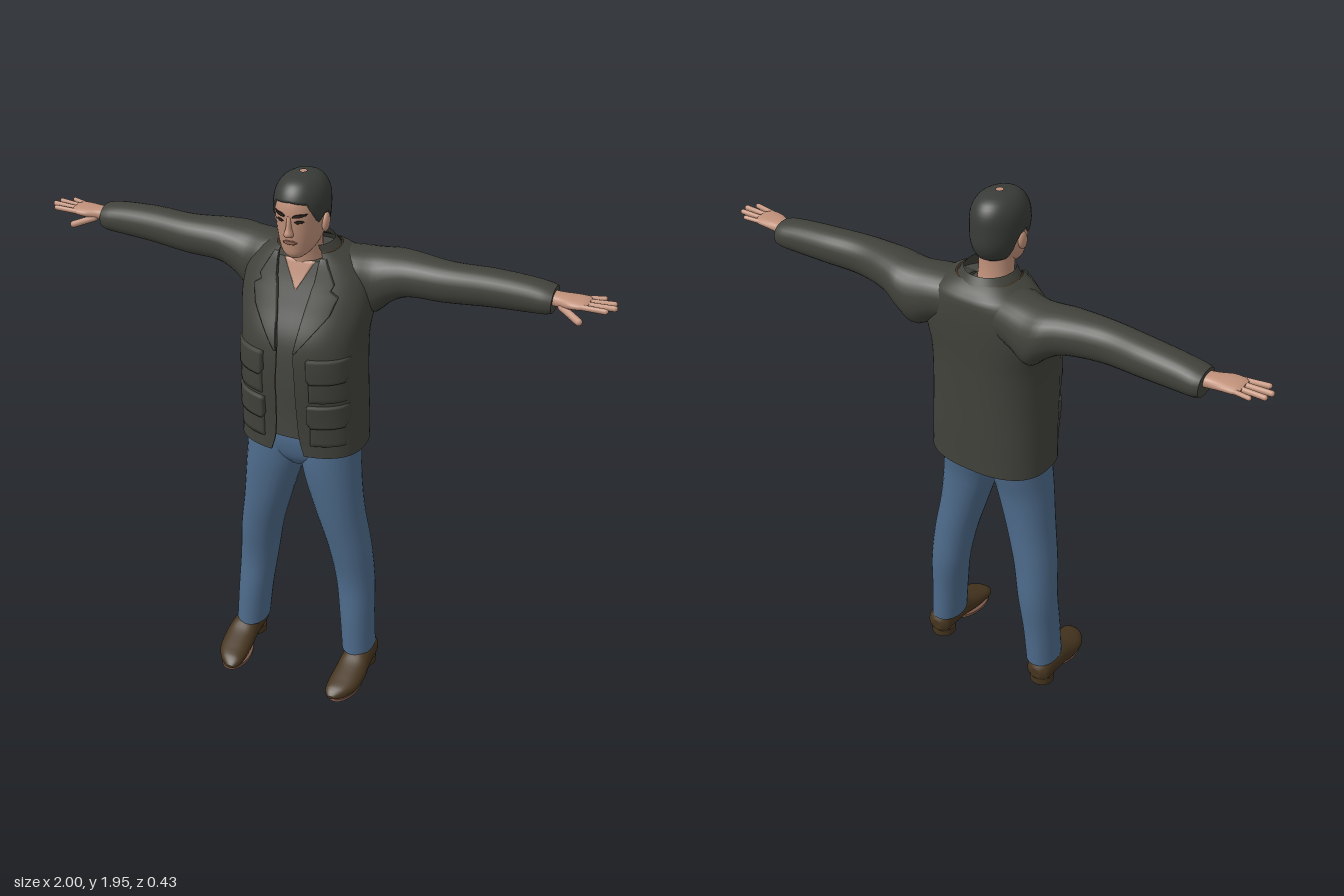
import * as THREE from 'three';

const mat = (name, color, side = THREE.FrontSide) => {
  const m = new THREE.MeshStandardMaterial({ color, side });
  m.name = name;
  return m;
};

// Smooth value of a key table at t (first column), by Hermite interpolation
function sample(keys, t) {
  let i = 0;
  while (i < keys.length - 2 && t > keys[i + 1][0]) i++;
  const a = keys[i], b = keys[i + 1], p = keys[i - 1] || a, n = keys[i + 2] || b;
  const h = b[0] - a[0], s = Math.min(1, Math.max(0, (t - a[0]) / h)), s2 = s * s, s3 = s2 * s;
  return a.map((_, k) => {
    const ma = (b[k] - p[k]) / (b[0] - p[0]) * h, mb = (n[k] - a[k]) / (n[0] - a[0]) * h;
    return a[k] * (2 * s3 - 3 * s2 + 1) + ma * (s3 - 2 * s2 + s) + b[k] * (3 * s2 - 2 * s3) + mb * (s3 - s2);
  });
}

function linear(keys, t) {
  let i = 0;
  while (i < keys.length - 2 && t > keys[i + 1][0]) i++;
  const a = keys[i], b = keys[i + 1], s = Math.min(1, Math.max(0, (t - a[0]) / (b[0] - a[0])));
  return a.map((v, k) => v + (b[k] - v) * s);
}

const spow = (v, e) => Math.sign(v) * Math.abs(v) ** e;

function finish(pos, idx) {
  const g = new THREE.BufferGeometry();
  g.setAttribute('position', new THREE.Float32BufferAttribute(pos, 3));
  g.setIndex(idx);
  g.computeVertexNormals();
  return g;
}

// Grid of points f(i, j), i along the row, j upward
function grid(nx, ny, f, wrap = false) {
  const pos = [], idx = [], w = wrap ? nx : nx + 1;
  for (let j = 0; j <= ny; j++) for (let i = 0; i < w; i++) pos.push(...f(i, j));
  for (let j = 0; j < ny; j++) for (let i = 0; i < nx; i++) {
    const a = j * w + i, b = j * w + (i + 1) % w;
    idx.push(a, b, b + w, a, b + w, a + w);
  }
  return { pos, idx };
}

// Superellipse loft. Keys: [t, c1, c2, r1, r2, frontGap]; a gap leaves it open
function loft(keys, { axis = 'y', p = 2, n = 28, m = 28, open = false } = {}) {
  const t0 = keys[0][0], t1 = keys[keys.length - 1][0];
  const orient = (u, t, v) => axis === 'y' ? [u, t, v] : axis === 'x' ? [t, v, u] : [v, u, t];
  const f = (i, j) => {
    const t = t0 + (t1 - t0) * j / m, [, c1, c2, r1, r2, g = 0] = sample(keys, t);
    const a0 = open ? Math.asin(Math.min(1, (g / r1) ** (p / 2))) : 0;
    const a = a0 + (Math.PI * 2 - 2 * a0) * i / n;
    return orient(c1 + r1 * spow(Math.sin(a), 2 / p), t, c2 + r2 * spow(Math.cos(a), 2 / p));
  };
  const { pos, idx } = grid(n, m, f, !open);
  if (!open) for (const j of [0, m]) {
    const base = pos.length / 3, k = sample(keys, j ? t1 : t0);
    for (let i = 0; i < n; i++) pos.push(...f(i, j));
    pos.push(...orient(k[1], k[0], k[2]));
    for (let i = 0; i < n; i++) {
      const a = base + i, b = base + (i + 1) % n;
      idx.push(...(j ? [a, b, base + n] : [b, a, base + n]));
    }
  }
  return finish(pos, idx);
}

// Raised panel lying on the front of a loft. Rows: [y, xLeft, xRight], upward
function drape(keys, p, rows, off, n = 10) {
  const y0 = rows[0][0], y1 = rows[rows.length - 1][0];
  const c = i => Math.min(1, Math.max(0, (i - 1) / n));
  const { pos, idx } = grid(n + 2, n + 2, (i, j) => {
    const y = y0 + (y1 - y0) * c(j), [, xl, xr] = linear(rows, y), x = xl + (xr - xl) * c(i);
    const [, c1, c2, r1, r2] = sample(keys, y);
    const edge = i === 0 || j === 0 || i === n + 2 || j === n + 2;
    const q = Math.min(1, Math.abs((x - c1) / r1));
    return [x, y, c2 + r2 * (1 - q ** p) ** (1 / p) + (edge ? -0.004 : off)];
  });
  return finish(pos, idx);
}

function mirrored(geo) {
  const g = geo.clone().scale(-1, 1, 1), ix = g.index;
  for (let i = 0; i < ix.count; i += 3) {
    const a = ix.getX(i);
    ix.setX(i, ix.getX(i + 1));
    ix.setX(i + 1, a);
  }
  return g;
}

// Rounded finger between two points
function finger(a, b, r) {
  const A = new THREE.Vector3(...a), d = new THREE.Vector3(...b).sub(A), len = d.length();
  const g = new THREE.CapsuleGeometry(r, len - 2 * r, 5, 10);
  g.applyQuaternion(new THREE.Quaternion().setFromUnitVectors(new THREE.Vector3(0, 1, 0), d.clone().normalize()));
  return g.translate(...A.addScaledVector(d, 0.5).toArray());
}

export function createModel() {
  const root = new THREE.Group();
  root.name = 'standingMan';
  const D = THREE.DoubleSide;
  const skin = mat('skin', 0xc0917a), hair = mat('hair', 0x383b37, D), jacket = mat('jacket', 0x41423b, D);
  const lining = mat('lining', 0x3c2f20, D), shirt = mat('shirt', 0x464742), jeans = mat('denim', 0x4d6a8a);
  const leather = mat('shoeLeather', 0x46351f), sole = mat('sole', 0x7a5848), lip = mat('lips', 0x9c6a58), dark = mat('eyesAndBrows', 0x2a211d);
  const add = (name, geo, m) => {
    const mesh = new THREE.Mesh(geo, m);
    mesh.name = name;
    root.add(mesh);
  };
  const pair = (name, geo, m) => {
    add(name + 'Left', geo, m);
    add(name + 'Right', mirrored(geo), m);
  };

  // Jacket body, open at the front, with lining and shirt inside
  const P = 2.5;
  const body = [
    [0.985, 0, -0.03, 0.222, 0.16, 0.06], [1.04, 0, -0.03, 0.22, 0.16, 0.045], [1.12, 0, -0.028, 0.217, 0.163, 0.038],
    [1.27, 0, -0.021, 0.212, 0.17, 0.034], [1.4, 0, -0.025, 0.212, 0.168, 0.03], [1.52, 0, -0.053, 0.225, 0.145, 0.05],
    [1.6, 0, -0.07, 0.21, 0.128, 0.065], [1.66, 0, -0.075, 0.16, 0.113, 0.08], [1.69, 0, -0.06, 0.105, 0.088, 0.07]];
  const inset = (d, keep = () => true) => body.filter(keep).map(([t, a, b, r, s, g]) => [t, a, b, r - d, s - d, g]);
  add('jacketBody', loft(body, { p: P, n: 56, m: 44, open: true }), jacket);
  add('jacketLining', loft(inset(0.006), { p: P, n: 56, m: 44, open: true }), lining);
  const inner = inset(0.014, k => k[0] > 1 && k[0] < 1.68);
  add('shirt', loft(inner, { p: P, n: 40, m: 30 }), shirt);
  add('openNeckSkin', drape(inner, P, [[1.57, -0.003, 0.003], [1.66, -0.052, 0.052]], 0.004), skin);
  add('collar', loft([[1.64, 0, -0.066, 0.128, 0.118, 0.085], [1.675, 0, -0.062, 0.108, 0.1, 0.075],
    [1.712, 0, -0.055, 0.082, 0.085, 0.055]], { n: 40, m: 8, open: true }), jacket);
  pair('lapel', drape(body, P, [[1.385, 0.03, 0.036], [1.51, 0.047, 0.13], [1.57, 0.058, 0.148],
    [1.585, 0.06, 0.12], [1.6, 0.065, 0.13], [1.675, 0.072, 0.09]], 0.009, 16), jacket);

  // Pockets and their flaps
  for (const [name, y, h] of [['chest', 1.37, 0.16], ['hip', 1.195, 0.16]]) {
    pair(name + 'Pocket', drape(body, P, [[y - h, 0.085, 0.192], [y - 0.02, 0.085, 0.192]], 0.007), jacket);
    pair(name + 'PocketFlap', drape(body, P, [[y - 0.085, 0.09, 0.19], [y - 0.07, 0.078, 0.197], [y, 0.078, 0.197]], 0.015), jacket);
  }

  // Sleeves: [x, z, y, depth, height]
  pair('sleeve', loft([
    [0.06, -0.095, 1.6, 0.085, 0.075], [0.15, -0.1, 1.59, 0.1, 0.09], [0.22, -0.115, 1.572, 0.098, 0.108],
    [0.27, -0.12, 1.595, 0.095, 0.088], [0.33, -0.112, 1.614, 0.083, 0.072], [0.46, -0.099, 1.617, 0.066, 0.065],
    [0.6, -0.112, 1.62, 0.063, 0.06], [0.72, -0.119, 1.618, 0.06, 0.054], [0.785, -0.122, 1.615, 0.059, 0.047],
    [0.8, -0.122, 1.615, 0.054, 0.042]], { axis: 'x', p: 2.2, m: 40 }), jacket);

  // Hands
  pair('palm', loft([[0.78, -0.118, 1.622, 0.03, 0.022], [0.82, -0.112, 1.624, 0.034, 0.02],
    [0.86, -0.106, 1.628, 0.044, 0.017], [0.9, -0.106, 1.63, 0.043, 0.014], [0.912, -0.106, 1.631, 0.034, 0.009]],
  { axis: 'x', p: 2.4, n: 20, m: 14 }), skin);
  [[-0.071, -0.063, 0.978, 0.009], [-0.094, -0.095, 1, 0.0095], [-0.117, -0.125, 0.992, 0.009], [-0.139, -0.153, 0.955, 0.008]]
    .forEach(([z0, z1, x, r], i) => pair('finger' + (i + 1), finger([0.885, 1.63, z0], [x, 1.635, z1], r), skin));
  pair('thumb', finger([0.82, 1.615, -0.09], [0.905, 1.588, -0.043], 0.012), skin);

  // Trousers
  add('trouserSeat', loft([[0.9, 0, -0.012, 0.04, 0.07], [0.94, 0, -0.018, 0.15, 0.1], [1.0, 0, -0.024, 0.198, 0.117],
    [1.06, 0, -0.028, 0.198, 0.117]], { p: 2.4, m: 14 }), jeans);
  pair('trouserLeg', loft([
    [0.1, 0.218, -0.027, 0.058, 0.078], [0.25, 0.207, -0.032, 0.062, 0.077], [0.4, 0.193, -0.041, 0.069, 0.077],
    [0.55, 0.173, -0.028, 0.076, 0.083], [0.7, 0.141, -0.014, 0.085, 0.091], [0.85, 0.112, -0.009, 0.1, 0.099],
    [0.93, 0.101, -0.015, 0.105, 0.107], [1.03, 0.1, -0.025, 0.1, 0.112]], { p: 2.15, m: 36 }), jeans);

  // Shoes: [z, y, x, height, width]
  pair('shoe', loft([
    [-0.105, 0.058, 0.228, 0.022, 0.022], [-0.09, 0.062, 0.229, 0.046, 0.044], [-0.03, 0.064, 0.23, 0.05, 0.05],
    [0.03, 0.061, 0.23, 0.049, 0.054], [0.08, 0.046, 0.23, 0.04, 0.058], [0.15, 0.033, 0.224, 0.029, 0.054],
    [0.195, 0.026, 0.212, 0.02, 0.036], [0.215, 0.02, 0.206, 0.006, 0.012]], { axis: 'z', p: 2.3 }), leather);
  pair('shoeSole', new THREE.CylinderGeometry(1, 1, 0.012, 28).scale(0.054, 1, 0.095).rotateY(-0.1).translate(0.222, 0.006, 0.115), sole);
  pair('shoeHeel', new THREE.CylinderGeometry(1, 1, 0.03, 24).scale(0.046, 1, 0.046).translate(0.229, 0.015, -0.055), leather);

  // Neck and head
  add('neck', loft([[1.56, 0, -0.045, 0.07, 0.065], [1.68, 0, -0.022, 0.058, 0.056], [1.8, 0, -0.012, 0.06, 0.066]]), skin);
  const head = [
    [1.69, 0, 0.055, 0.024, 0.026], [1.703, 0, 0.044, 0.042, 0.048], [1.73, 0, 0.022, 0.06, 0.076], [1.76, 0, 0.008, 0.07, 0.095],
    [1.8, 0, 0.001, 0.077, 0.106], [1.85, 0, 0.002, 0.081, 0.107], [1.89, 0, 0, 0.077, 0.1], [1.92, 0, -0.002, 0.06, 0.08],
    [1.936, 0, -0.003, 0.036, 0.05], [1.943, 0, -0.003, 0.004, 0.005]];
  add('head', loft(head, { p: 2.1, m: 40, n: 36 }), skin);
  add('nose', loft([[1.77, 0, 0.106, 0.01, 0.006], [1.778, 0, 0.109, 0.016, 0.018], [1.8, 0, 0.107, 0.01, 0.014],
    [1.84, 0, 0.104, 0.007, 0.007]], { n: 16, m: 12 }), skin);
  add('mouth', drape(head, 2.1, [[1.744, -0.014, 0.014], [1.75, -0.025, 0.025], [1.757, -0.012, 0.012]], 0.004), lip);
  pair('eye', drape(head, 2.1, [[1.818, 0.026, 0.038], [1.823, 0.018, 0.046], [1.828, 0.025, 0.04]], 0.002), dark);
  pair('brow', drape(head, 2.1, [[1.838, 0.014, 0.03], [1.843, 0.013, 0.05], [1.849, 0.025, 0.056]], 0.004), dark);
  pair('ear', new THREE.SphereGeometry(1, 16, 12).scale(0.012, 0.032, 0.02).rotateX(-0.15).translate(0.081, 1.797, 0.004), skin);

  // Short hair: a shell over the head with a shaped hairline
  const hairline = [[0, 1.88], [0.65, 1.873], [0.95, 1.83], [1.15, 1.8], [1.4, 1.828], [1.75, 1.815], [2, 1.755], [2.3, 1.735], [3.15, 1.728]];
  const cap = grid(48, 18, (i, j) => {
    const a = i / 48 * Math.PI * 2, yb = linear(hairline, Math.min(a, Math.PI * 2 - a))[1];
    const y = yb + (1.943 - yb) * Math.sin(j / 18 * Math.PI / 2), [, , cz, rx, rz] = sample(head, y);
    const e = j === 0 ? -0.002 : 0.007, back = 0.012 * Math.max(0, -Math.cos(a)) * Math.max(0, (1.82 - y) / 0.09);
    return [(rx + e) * Math.sin(a), y + 0.007 * Math.max(0, (y - 1.86) / 0.083), cz + (rz + e + back) * Math.cos(a)];
  }, true);
  add('hair', finish(cap.pos, cap.idx), hair);

  return root;
}
